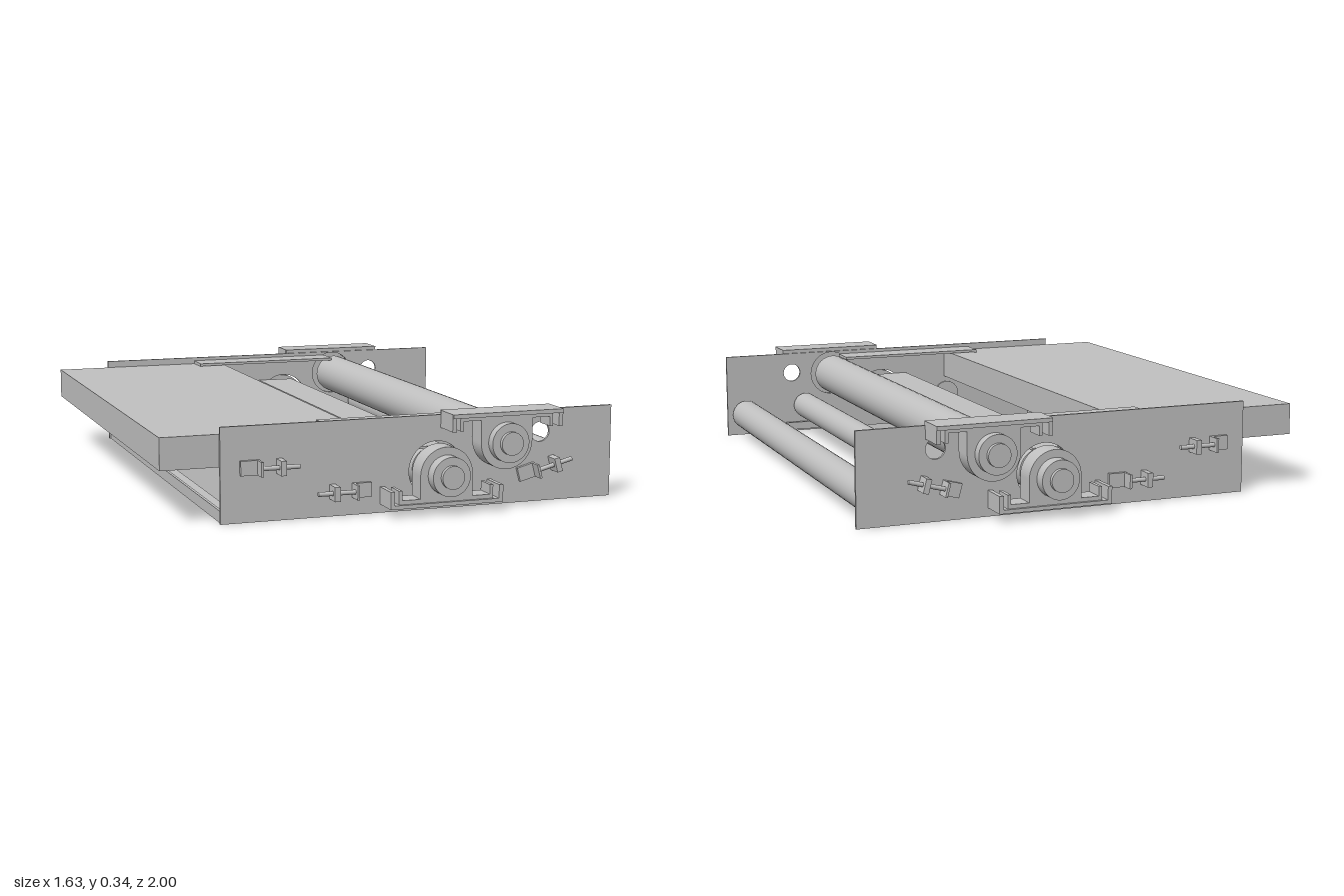
import * as THREE from 'three';

export function createModel() {
  const root = new THREE.Group();
  const steel = new THREE.MeshStandardMaterial({ color: 0xc0c0c0 });
  steel.name = 'light grey steel';

  const add = (parent, name, geo, x = 0, y = 0, z = 0) => {
    const m = new THREE.Mesh(geo, steel);
    m.name = name;
    m.position.set(x, y, z);
    parent.add(m);
    return m;
  };
  // Box given by its limits on each axis
  const box = (parent, name, x0, x1, y0, y1, z0, z1) =>
    add(parent, name, new THREE.BoxGeometry(x1 - x0, y1 - y0, z1 - z0),
      (x0 + x1) / 2, (y0 + y1) / 2, (z0 + z1) / 2);
  // Round bar along z
  const bar = (parent, name, r, x, y, z0, z1) =>
    add(parent, name, new THREE.CylinderGeometry(r, r, z1 - z0, 40).rotateX(Math.PI / 2), x, y, (z0 + z1) / 2);
  const extrude = (shape, depth) =>
    new THREE.ExtrudeGeometry(shape, { depth, bevelEnabled: false, curveSegments: 24 });

  // Feed table: a shallow pan, open below
  const table = new THREE.Group();
  table.name = 'feedTable';
  root.add(table);
  box(table, 'tableTop', -0.815, -0.135, 0.29, 0.30, -0.835, 0.835);
  for (const x of [-0.815, -0.145]) box(table, 'tableEndFlange', x, x + 0.01, 0.19, 0.29, -0.835, 0.835);
  for (const z of [-0.835, 0.825]) box(table, 'tableSideFlange', -0.805, -0.145, 0.19, 0.29, z, z + 0.01);

  // Rollers: x, y, radius
  for (const [name, x, y, r] of [
    ['upperDriveRoller', 0.37, 0.235, 0.075],
    ['lowerDriveRoller', 0.15, 0.135, 0.075],
    ['middleRoller', 0.49, 0.11, 0.05],
    ['frontRoller', 0.742, 0.087, 0.057],
    ['rearRoller', -0.515, 0.185, 0.05],
  ]) {
    bar(root, name, r, x, y, -0.815, 0.815);
    bar(root, name + 'Axle', r * 0.25, x, y, -0.842, 0.842);
  }

  // Scraper strip above the lower roller
  box(root, 'scraperStrip', 0.04, 0.185, 0.208, 0.216, -0.835, 0.835);

  // Cross members tying the side plates together
  box(root, 'frontCrossBase', 0.595, 0.68, 0, 0.01, -0.84, 0.84);
  box(root, 'frontCrossWeb', 0.625, 0.635, 0.01, 0.05, -0.84, 0.84);
  box(root, 'rearCrossBase', -0.61, -0.53, 0, 0.01, -0.84, 0.84);
  box(root, 'rearCrossWeb', -0.61, -0.60, 0.01, 0.04, -0.84, 0.84);

  // Side plate with bearing openings and a sight hole
  const plate = new THREE.Shape();
  plate.moveTo(-0.615, 0).lineTo(0.815, 0).lineTo(0.815, 0.325).lineTo(-0.615, 0.325).closePath();
  for (const [x, y, r] of [[0.54, 0.245, 0.035], [0.15, 0.135, 0.1], [0.37, 0.235, 0.087]]) {
    plate.holes.push(new THREE.Path().absarc(x, y, r, 0, Math.PI * 2, true));
  }
  const plateGeo = extrude(plate, 0.01);

  // Bearing unit in local space: shaft centre at the origin, foot below
  function bearing(name, outer) {
    const g = new THREE.Group();
    g.name = name;
    const s = new THREE.Shape();
    s.moveTo(-0.095, -0.08).lineTo(0.095, -0.08).lineTo(0.095, 0);
    s.absarc(0, 0, 0.095, 0, Math.PI, false);
    s.closePath();
    add(g, 'bearingHousing', extrude(s, 0.075), 0, 0, 0.865);
    bar(g, 'bearingCollar', 0.068, 0, 0, 0.94, outer - 0.015);
    bar(g, 'shaftEnd', 0.04, 0, 0, 0.83, outer);
    // Channel foot with upturned ends and clamp tabs
    box(g, 'footPlate', -0.205, 0.205, -0.105, -0.092, 0.848, 0.95);
    box(g, 'footPad', -0.16, 0.16, -0.092, -0.078, 0.865, 0.94);
    for (const d of [-1, 1]) {
      const wall = (n, a, b, y0, y1, z0, z1) =>
        box(g, n, Math.min(a * d, b * d), Math.max(a * d, b * d), y0, y1, z0, z1);
      wall('footEnd', 0.19, 0.205, -0.092, -0.045, 0.848, 0.95);
      wall('clampTab', 0.16, 0.172, -0.092, -0.045, 0.865, 0.94);
    }
    return g;
  }

  // Roller adjuster: block, screw and stop plate, pointing along +x
  function adjuster(x, y, angle) {
    const g = new THREE.Group();
    g.name = 'adjuster';
    box(g, 'adjusterBlock', -0.033, 0.033, -0.025, 0.025, 0.848, 0.86);
    box(g, 'adjusterLug', 0.025, 0.033, -0.025, 0.025, 0.86, 0.902);
    const screw = add(g, 'adjusterScrew', new THREE.CylinderGeometry(0.008, 0.008, 0.135, 16), 0.097, 0, 0.88);
    screw.rotation.z = Math.PI / 2;
    box(g, 'stopPlate', 0.093, 0.113, -0.025, 0.025, 0.848, 0.902);
    g.position.set(x, y, 0);
    g.rotation.z = angle;
    return g;
  }

  // One full side; the far side is turned so that its details face -z
  function side(d) {
    const g = new THREE.Group();
    g.name = d > 0 ? 'frontSide' : 'backSide';
    // Turning about y flips x, so the parts are placed individually
    const place = (part, x, y, flipY) => {
      part.position.set(x, y, 0);
      if (d < 0) part.rotation.y = Math.PI;
      if (flipY) part.rotation.z = Math.PI;
      g.add(part);
    };
    add(g, 'sidePlate', plateGeo, 0, 0, d > 0 ? 0.838 : -0.848);
    place(bearing('lowerBearing', 1.0), 0.15, 0.135, false);
    place(bearing('upperBearing', 0.988), 0.37, 0.235, true);
    for (const [x, y, a] of [[-0.515, 0.185, 0], [-0.122, 0.085, Math.PI], [0.488, 0.107, 0.26]]) {
      const holder = new THREE.Group();
      holder.name = 'adjusterMount';
      const part = adjuster(0, 0, d > 0 ? a : Math.PI - a);
      holder.add(part);
      place(holder, x, y, false);
    }
    const span = (name, x0, x1, y0, y1, z0, z1) =>
      box(g, name, x0, x1, y0, y1, Math.min(z0 * d, z1 * d), Math.max(z0 * d, z1 * d));
    // Edge guide with a folded rear lip, and the inner bracket of the front roller
    span('edgeGuide', -0.245, 0.335, 0.302, 0.312, 0.735, 0.838);
    span('edgeGuideLip', -0.245, -0.235, 0.30, 0.302, 0.735, 0.838);
    span('innerBracket', 0.41, 0.60, 0.01, 0.04, 0.81, 0.825);
    span('topCap', 0.167, 0.575, 0.326, 0.34, 0.84, 0.955);
    // Disc on the inner face of the plate
    bar(g, 'innerDisc', 0.052, -0.145, 0.115, d > 0 ? 0.83 : -0.839, d > 0 ? 0.839 : -0.83);
    return g;
  }
  root.add(side(1), side(-1));
  return root;
}
